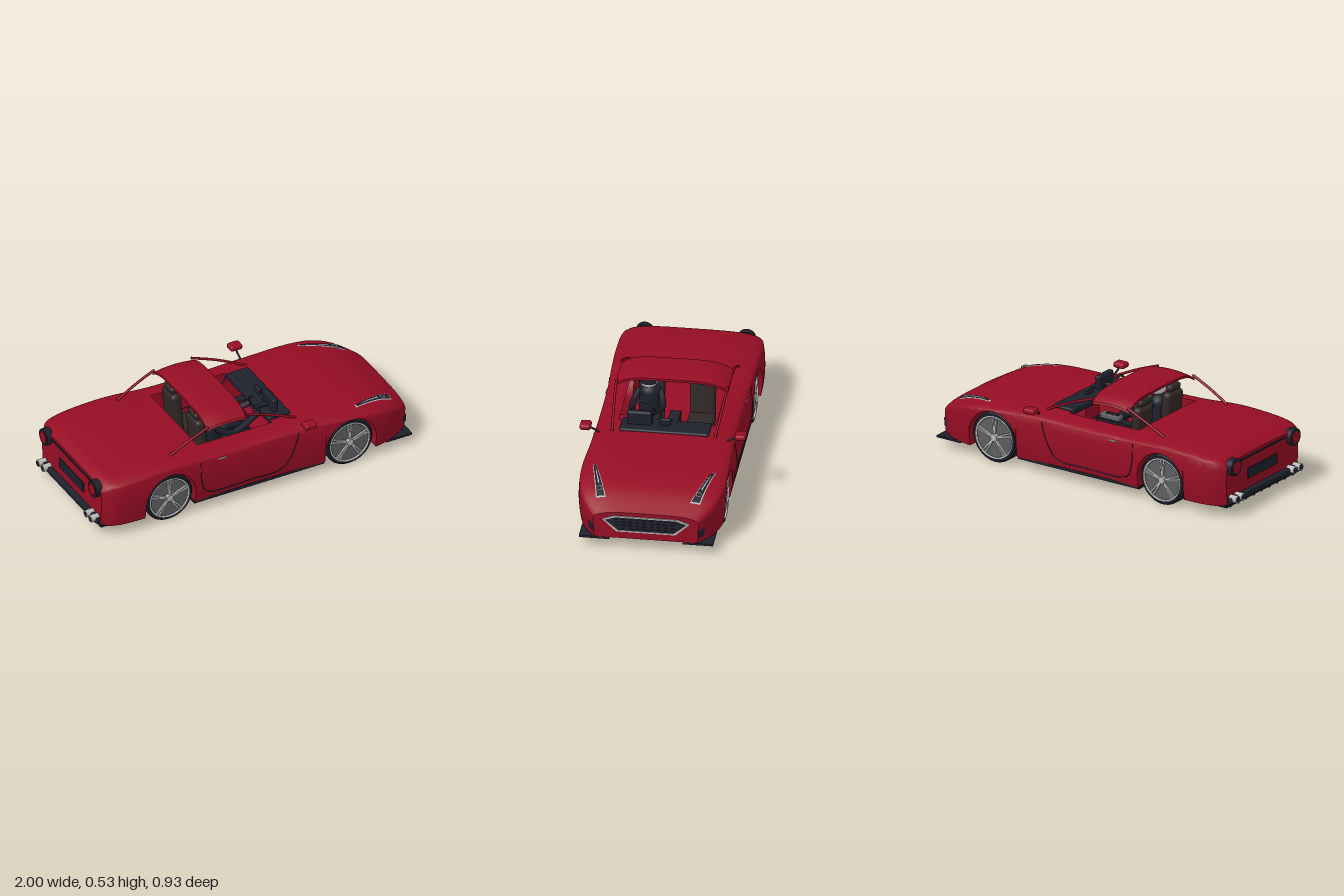
import * as THREE from 'three';
import { toCreasedNormals } from 'three/addons/utils/BufferGeometryUtils.js';
import { RoundedBoxGeometry } from 'three/addons/geometries/RoundedBoxGeometry.js';

const paint = (name, color, side = THREE.FrontSide) => {
  const m = new THREE.MeshStandardMaterial({ color, side });
  m.name = name;
  return m;
};

// Smooth interpolation through [x, value] pairs
function table(pts) {
  const slope = i => {
    const a = pts[Math.max(i - 1, 0)], b = pts[Math.min(i + 1, pts.length - 1)];
    return (b[1] - a[1]) / (b[0] - a[0]);
  };
  return x => {
    let i = 0;
    while (i < pts.length - 2 && x > pts[i + 1][0]) i++;
    const [x0, y0] = pts[i], [x1, y1] = pts[i + 1], h = x1 - x0, t = (x - x0) / h;
    return y0 * (1 + 2 * t) * (1 - t) ** 2 + slope(i) * h * t * (1 - t) ** 2
      + y1 * t * t * (3 - 2 * t) + slope(i + 1) * h * t * t * (t - 1);
  };
}

const AXLES = [-0.545, 0.59], ARCH = 0.157, FLOOR = 0.07, WELL = 0.27;
const REAR = -0.95, NOSE = 0.99, OPEN = [-0.31, 0.16];
const topLine = table([[-0.95, 0.32], [-0.92, 0.345], [-0.85, 0.357], [-0.7, 0.37], [-0.52, 0.374],
  [-0.3, 0.36], [0, 0.355], [0.3, 0.357], [0.5, 0.352], [0.7, 0.337], [0.8, 0.318], [0.87, 0.295], [0.93, 0.265], [0.99, 0.232]]);
const halfWidth = table([[-0.95, 0.345], [-0.92, 0.38], [-0.85, 0.405], [-0.7, 0.414], [-0.5, 0.412], [-0.25, 0.4],
  [0.1, 0.398], [0.4, 0.405], [0.6, 0.416], [0.75, 0.41], [0.85, 0.385], [0.93, 0.345], [0.99, 0.295]]);
const shoulder = x => topLine(x) - 0.042;
const sideZ = (x, y) => halfWidth(x) * (1 - 0.03 * ((0.2 - y) / 0.13) ** 2);
function topY(x, z) {
  const k = Math.min(1, Math.abs(z) / sideZ(x, shoulder(x)));
  return shoulder(x) + 0.042 * Math.sqrt(1 - k ** 4);
}
function archY(x) {
  for (const c of AXLES) {
    const d = Math.abs(x - c);
    if (d <= ARCH + 1e-5) return 0.15 + Math.sqrt(Math.max(0, ARCH * ARCH - d * d));
  }
  return FLOOR;
}

// Half cross-section from floor centre, round the wheel well and shoulder, to top centre
const SIDE = 8, EDGE = 12, DECK = 6;
function section(x) {
  const a = archY(x), s = shoulder(x), zs = sideZ(x, s);
  const p = [[0, FLOOR], [WELL, FLOOR], [WELL, a]];
  for (let i = 0; i <= SIDE; i++) {
    const y = a + (s - a) * i / SIDE;
    p.push([sideZ(x, y), y]);
  }
  for (let i = 1; i <= EDGE; i++) {
    const z = WELL + (zs - WELL) * Math.cos(i / EDGE * Math.PI / 2);
    p.push([z, topY(x, z)]);
  }
  for (let i = 1; i <= DECK; i++) {
    const z = WELL * (1 - i / DECK);
    p.push([z, topY(x, z)]);
  }
  return p;
}

function bodyGeometry() {
  const xs = [...OPEN];
  for (let x = REAR; x < NOSE; x += 0.03) if (AXLES.every(c => Math.abs(x - c) > ARCH + 0.004)) xs.push(x);
  xs.push(NOSE);
  for (const c of AXLES) {
    xs.push(c - ARCH - 0.001, c + ARCH + 0.001);
    for (let i = 0; i <= 20; i++) xs.push(c - ARCH * Math.cos(i / 20 * Math.PI));
  }
  xs.sort((a, b) => a - b);
  const rows = xs.map(x => section(x).map(([z, y]) => [x, y, z]));
  const cap = row => row.map(([x]) => [x, 0.16, 0]);
  rows.unshift(cap(rows[0]));
  rows.push(cap(rows[rows.length - 1]));
  const pos = [], cockpit = 2 + SIDE + EDGE + 1;
  for (const s of [1, -1]) for (let i = 0; i < rows.length - 1; i++) for (let j = 0; j < rows[0].length - 1; j++) {
    const x = (rows[i][j][0] + rows[i + 1][j][0]) / 2;
    if (j >= cockpit && x > OPEN[0] && x < OPEN[1]) continue;
    const a = rows[i][j], b = rows[i + 1][j], c = rows[i + 1][j + 1], d = rows[i][j + 1];
    for (const p of s > 0 ? [a, b, c, a, c, d] : [a, c, b, a, d, c]) pos.push(p[0], p[1], p[2] * s);
  }
  const g = new THREE.BufferGeometry();
  g.setAttribute('position', new THREE.Float32BufferAttribute(pos, 3));
  return toCreasedNormals(g, 0.6);
}

// Plane grid whose points are placed by a rule f(u, v)
function sheet(nu, nv, f) {
  const g = new THREE.PlaneGeometry(1, 1, nu, nv), p = g.attributes.position;
  for (let i = 0; i < p.count; i++) p.setXYZ(i, ...f(p.getX(i) + 0.5, p.getY(i) + 0.5));
  g.computeVertexNormals();
  return g;
}

export function createModel() {
  const car = new THREE.Group();
  car.name = 'roadster';
  const D = THREE.DoubleSide;
  const red = paint('body red', 0x960d24, D), black = paint('trim black', 0x1e202b, D), silver = paint('chrome', 0xb8b8b8, D);
  const grey = paint('rim grey', 0x5c5d60), brown = paint('seat brown', 0x302826), white = paint('helmet white', 0xdcdcdc);
  const add = (name, geo, mat, x = 0, y = 0, z = 0, parent = car) => {
    const m = new THREE.Mesh(geo, mat);
    m.name = name;
    m.position.set(x, y, z);
    parent.add(m);
    return m;
  };
  const box = (name, mat, w, h, d, x, y, z, r = 0) =>
    add(name, r ? new RoundedBoxGeometry(w, h, d, 3, r) : new THREE.BoxGeometry(w, h, d), mat, x, y, z);
  const tube = (name, mat, pts, r, n = 24) =>
    add(name, new THREE.TubeGeometry(new THREE.CatmullRomCurve3(pts.map(p => new THREE.Vector3(...p))), n, r, 8), mat);
  const alongX = (name, mat, r, len, x, y, z) =>
    add(name, new THREE.CylinderGeometry(r, r, len, 24).rotateZ(Math.PI / 2), mat, x, y, z);

  add('body', bodyGeometry(), red);

  // Roof band and slim pillars
  const roofY = (x, z) => 0.533 - 0.05 * (Math.abs(z) / 0.315) ** 5 - 0.8 * (x + 0.14) ** 2;
  for (const [name, drop] of [['roof', 0], ['roofLining', 0.014]])
    add(name, sheet(10, 40, (u, v) => {
      const x = -0.27 + 0.25 * u, z = 0.315 * Math.sin((v - 0.5) * Math.PI);
      return [x, roofY(x, z) - drop, z];
    }), red);
  for (const x of [-0.27, -0.02])
    add('roofEdge', sheet(1, 40, (u, v) => {
      const z = 0.315 * Math.sin((v - 0.5) * Math.PI);
      return [x, roofY(x, z) - 0.014 * u, z];
    }), red);

  // Grille on the nose
  const hexagon = k => [[-0.245, 0.187], [-0.18, 0.21], [0.18, 0.21], [0.245, 0.187], [0.165, 0.113], [-0.165, 0.113]]
    .map(([z, y]) => new THREE.Vector2(z * (1 - (1 - k) * 0.4), 0.162 + (y - 0.162) * k));
  const frame = new THREE.Shape(hexagon(1));
  frame.holes.push(new THREE.Path(hexagon(0.83)));
  const facing = (shape, depth) => new THREE.ExtrudeGeometry(shape, { depth, bevelEnabled: false }).rotateY(Math.PI / 2);
  add('grilleFrame', facing(frame, 0.008), silver, 0.989);
  add('grille', facing(new THREE.Shape(hexagon(0.84)), 0.004), black, 0.989);
  for (let i = 0; i < 4; i++) box('grilleSlat', black, 0.006, 0.006, 0.36 - (3 - i) * 0.02, 0.993, 0.132 + i * 0.019, 0);

  // Dashboard, console and instruments
  box('dashboard', black, 0.14, 0.04, 0.5, 0.225, 0.348, 0, 0.012);
  box('instrumentPod', black, 0.035, 0.085, 0.14, 0.22, 0.405, 0.145, 0.012);
  box('dashScreen', black, 0.02, 0.042, 0.06, 0.22, 0.388, 0, 0.008);
  box('console', grey, 0.13, 0.03, 0.05, 0.065, 0.27, -0.005, 0.008);
  box('consoleBase', black, 0.3, 0.18, 0.06, 0, 0.165, -0.005);
  for (let i = 0; i < 3; i++) box('consoleButton', black, 0.018, 0.006, 0.025, 0.025 + i * 0.03, 0.286, -0.005);
  const wheel = add('steeringWheel', new THREE.TorusGeometry(0.058, 0.007, 8, 28).rotateY(Math.PI / 2), black, 0.125, 0.395, 0.14);
  wheel.rotation.z = 0.15;
  alongX('steeringColumn', black, 0.012, 0.09, 0.165, 0.385, 0.14);

  // Seats
  for (const z of [0.14, -0.145]) {
    box('seatBase', brown, 0.19, 0.07, 0.15, -0.14, 0.19, z, 0.025);
    box('seatBack', brown, 0.06, 0.27, 0.145, -0.235, 0.315, z, 0.025).rotation.z = 0.1;
    box('headrest', brown, 0.045, 0.042, 0.1, -0.25, 0.47, z, 0.018);
  }

  // Driver
  const torso = add('driverTorso', new THREE.CapsuleGeometry(0.055, 0.1, 6, 20), black, -0.16, 0.31, 0.14);
  torso.scale.z = 1.15;
  add('helmet', new THREE.SphereGeometry(0.055, 28, 20), white, -0.14, 0.455, 0.145);
  add('visor', new THREE.SphereGeometry(0.0565, 20, 10, Math.PI * 0.68, Math.PI * 0.64, 1.25, 0.6), black, -0.14, 0.455, 0.145);
  add('helmetStripe', new THREE.TorusGeometry(0.053, 0.006, 6, 24, 2.2), red, -0.14, 0.455, 0.145).rotation.z = 0.6;
  for (const s of [1, -1]) {
    tube('driverLeg', black, [[-0.14, 0.23, 0.14 + s * 0.04], [0, 0.28, 0.125 + s * 0.045], [0.14, 0.17, 0.12 + s * 0.025]], 0.026);
    tube('driverArm', black, [[-0.16, 0.37, 0.14 + s * 0.06], [-0.06, 0.33, 0.14 + s * 0.085], [0.12, 0.385, 0.14 + s * 0.055]], 0.018);
  }

  for (const s of [1, -1]) {
    tube('windscreenPillar', red, [[-0.03, 0.492, s * 0.31], [0.12, 0.435, s * 0.302], [0.3, 0.35, s * 0.288]], 0.0075);
    tube('rearPillar', red, [[-0.26, 0.485, s * 0.315], [-0.37, 0.435, s * 0.312], [-0.5, 0.366, s * 0.305]], 0.0075);

    // Door seam, handle and sill
    const seam = [[-0.35, 0.33], [-0.35, 0.22], [-0.33, 0.14], [-0.29, 0.11], [-0.05, 0.104], [0.16, 0.115], [0.22, 0.19], [0.25, 0.26], [0.27, 0.33]];
    tube('doorSeam', black, seam.map(([x, y]) => {
      const h = Math.min(y, shoulder(x));
      return [x, h, s * sideZ(x, h)];
    }), 0.0028, 70);
    box('doorHandle', silver, 0.05, 0.009, 0.01, -0.215, 0.308, s * sideZ(-0.215, 0.308), 0.004);
    box('sideSill', black, 0.82, 0.016, 0.05, 0.02, 0.066, s * 0.365);

    // Mirror
    box('mirror', red, 0.075, 0.034, 0.062, 0.31, 0.384, s * 0.434, 0.014);
    tube('mirrorStalk', black, [[0.305, 0.345, s * 0.36], [0.305, 0.362, s * 0.39], [0.31, 0.376, s * 0.42]], 0.006);

    // Headlight strip laid on the bonnet
    const strip = (name, mat, x0, x1, wide, lift) => add(name, sheet(16, 4, (u, v) => {
      const x = x0 + (x1 - x0) * u, mid = 0.333 - (x - 0.66) * 0.28;
      const z = mid + (v - 0.5) * wide * (0.35 + 0.65 * u);
      return [x, topY(x, z) + lift, s * z];
    }), mat);
    strip('headlightFrame', silver, 0.655, 0.908, 0.056, 0.003);
    strip('headlight', black, 0.662, 0.902, 0.044, 0.006);
    strip('headlightBar', silver, 0.7, 0.82, 0.008, 0.008);
    const lens = add('headlightLens', new THREE.TorusGeometry(0.015, 0.004, 6, 20).rotateX(-Math.PI / 2), silver, 0.855, topY(0.855, 0.278) + 0.008, s * 0.278);
    lens.rotation.z = -0.3;

    // Front corner intake and splitter
    add('cornerIntake', sheet(1, 4, (u, v) => {
      const x = 0.992 - 0.035 * v, y = 0.1 + 0.05 * u + 0.008 * v;
      return [x + 0.003, y, s * (sideZ(x, y) + 0.003)];
    }), black);
    box('splitter', black, 0.16, 0.012, 0.17, 0.91, 0.063, s * 0.29);

    // Tail lights and exhausts
    alongX('tailLightRing', black, 0.05, 0.04, -0.955, 0.285, s * 0.285);
    alongX('tailLight', red, 0.035, 0.006, -0.976, 0.285, s * 0.285);
    for (const z of [0.25, 0.305]) {
      alongX('exhaust', silver, 0.021, 0.06, -0.97, 0.105, s * z);
      alongX('exhaustBore', black, 0.015, 0.004, -0.9995, 0.105, s * z);
    }

    // Wheels
    AXLES.forEach((x, i) => {
      const w = new THREE.Group();
      w.name = i ? 'frontWheel' : 'rearWheel';
      w.position.set(x, 0.148, s * 0.345);
      if (s < 0) w.rotation.y = Math.PI;
      car.add(w);
      const tread = [[0.12, -0.045], [0.138, -0.045], [0.147, -0.034], [0.147, 0.034], [0.138, 0.045], [0.124, 0.046], [0.12, 0.03]];
      add('tyre', toCreasedNormals(new THREE.LatheGeometry(tread.map(p => new THREE.Vector2(...p)), 48).rotateX(Math.PI / 2), 0.5), black, 0, 0, 0, w);
      add('rimDisc', new THREE.CylinderGeometry(0.122, 0.122, 0.07, 40).rotateX(Math.PI / 2), grey, 0, 0, 0, w);
      add('rimRing', new THREE.TorusGeometry(0.121, 0.006, 8, 48), silver, 0, 0, 0.043, w);
      add('hub', new THREE.CylinderGeometry(0.02, 0.024, 0.02, 20).rotateX(Math.PI / 2), silver, 0, 0, 0.042, w);
      for (let k = 0; k < 5; k++) for (const e of [-0.09, 0.09]) {
        const a = Math.PI / 2 + k * Math.PI * 0.4 + e;
        add('spoke', new THREE.BoxGeometry(0.11, 0.009, 0.012), silver, Math.cos(a) * 0.066, Math.sin(a) * 0.066, 0.04, w).rotation.z = a;
      }
    });
  }

  // Rear bumper, plate recess and finned diffuser
  box('rearBumper', black, 0.035, 0.04, 0.66, -0.96, 0.095, 0, 0.01);
  box('plateRecess', black, 0.008, 0.06, 0.28, -0.952, 0.2, 0);
  box('bootTrim', black, 0.008, 0.008, 0.44, -0.953, 0.3, 0);
  box('diffuser', black, 0.14, 0.014, 0.7, -0.885, 0.065, 0);
  for (let i = -4; i <= 4; i++) box('diffuserFin', black, 0.13, 0.014, 0.008, -0.885, 0.055, i * 0.075);
  return car;
}
